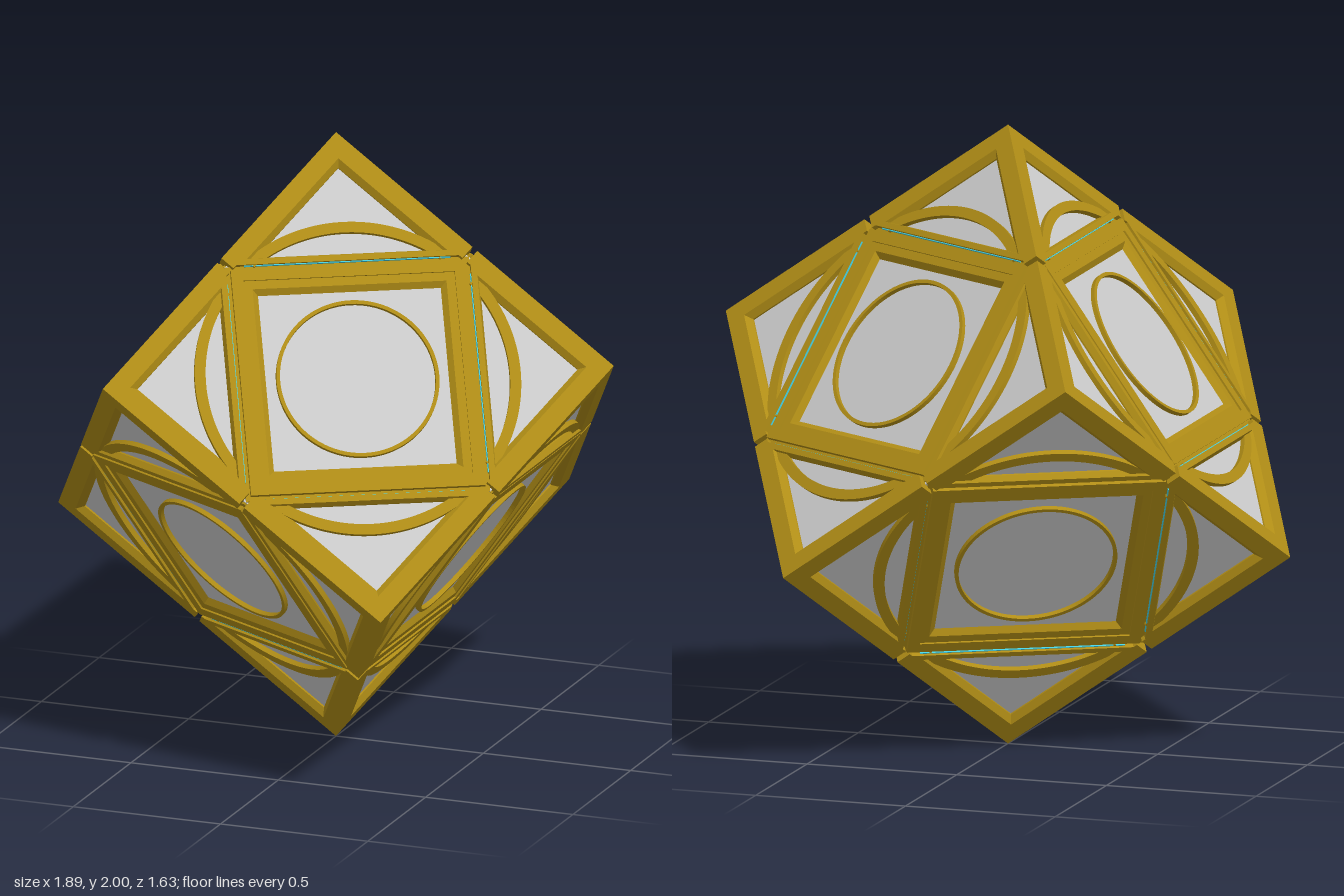
import * as THREE from 'three';

const H = 1 / Math.sqrt(3);            // half the cube edge; the body diagonal is 2
const gold = new THREE.MeshStandardMaterial({ color: 0xb08d16 });
const grey = new THREE.MeshStandardMaterial({ color: 0xcccccc });
const cyan = new THREE.MeshStandardMaterial({ color: 0x45cfe0 });

const mesh = (name, geometry, material = gold) => {
  const m = new THREE.Mesh(geometry, material);
  m.name = name;
  return m;
};

const loop = pts => pts.map(([x, y]) => new THREE.Vector2(x, y));
const square = r => loop([[r, r], [-r, r], [-r, -r], [r, -r]]);

// Plate whose top lies `top` above the face plane
function plate(outer, hole, top, depth) {
  const shape = new THREE.Shape(outer);
  if (hole) shape.holes.push(new THREE.Path(hole));
  const g = new THREE.ExtrudeGeometry(shape, { depth, bevelEnabled: false });
  return g.translate(0, 0, top - depth);
}

// Sloped strip from a high outer loop down to a low inner loop
function slope(a, za, b, zb) {
  const pos = [];
  a.forEach((p, i) => {
    const j = (i + 1) % a.length, q = a[j], r = b[j], s = b[i];
    pos.push(p.x, p.y, za, q.x, q.y, za, r.x, r.y, zb, p.x, p.y, za, r.x, r.y, zb, s.x, s.y, zb);
  });
  const g = new THREE.BufferGeometry();
  g.setAttribute('position', new THREE.Float32BufferAttribute(pos, 3));
  g.computeVertexNormals();
  return g;
}

// Flat ring, or an arc of one, centred on angle 0
function band(rIn, rOut, half, top, depth) {
  const shape = new THREE.Shape();
  shape.absarc(0, 0, rOut, -half, half, false);
  if (half < Math.PI) {
    shape.absarc(0, 0, rIn, half, -half, true);
  } else {
    shape.holes.push(new THREE.Path().absarc(0, 0, rIn, 0, Math.PI * 2, true));
  }
  const g = new THREE.ExtrudeGeometry(shape, { depth, bevelEnabled: false, curveSegments: 48 });
  return g.translate(0, 0, top - depth);
}

// Triangular window of a corner piece: w from the cube edges, d from the face centre
function triangle(w, d) {
  const k = d * Math.SQRT2, e = H - w;
  return loop([[e, e], [k - e, e], [e, k - e]]);
}

function cornerPiece() {
  const g = new THREE.Group();
  g.name = 'cornerPiece';
  const c = 0.01, k = 0.39 * Math.SQRT2;
  const outer = loop([[H, H], [c, H], [c, k - c], [k - c, c], [H, c]]);
  const high = triangle(0.062, 0.409), low = triangle(0.08, 0.417);
  g.add(mesh('cornerFrame', plate(outer, high, 0, 0.05)));
  g.add(mesh('cornerBevel', slope(high, 0, low, -0.02)));
  g.add(mesh('cornerBevelFoot', slope(low, -0.02, low, -0.03)));
  const arc = mesh('cornerArc', band(0.485, 0.52, 0.66, -0.008, 0.022));
  arc.rotation.z = Math.PI / 4;
  g.add(arc);
  // Bright strip on the wall of the groove
  const strip = mesh('grooveStrip', new THREE.BoxGeometry(0.004, 0.66, 0.008), cyan);
  strip.position.set(0.275, 0.275, -0.012);
  strip.rotation.z = Math.PI / 4;
  g.add(strip);
  return g;
}

function centrePiece() {
  const g = new THREE.Group();
  g.name = 'centrePiece';
  g.add(mesh('grooveFloor', plate(square(0.39), square(0.345), -0.018, 0.03)));
  g.add(mesh('centreFrame', plate(square(0.375), square(0.338), -0.002, 0.03)));
  g.add(mesh('innerFrame', plate(square(0.34), square(0.31), -0.008, 0.03)));
  g.add(mesh('innerBevel', slope(square(0.31), -0.008, square(0.292), -0.025)));
  g.add(mesh('centreRing', band(0.248, 0.26, Math.PI, -0.01, 0.02)));
  g.rotation.z = Math.PI / 4;
  return g;
}

function cubeFace() {
  const face = new THREE.Group();
  face.name = 'cubeFace';
  const content = new THREE.Group();
  content.name = 'faceDetail';
  content.position.z = H;
  for (let i = 0; i < 4; i++) {
    const corner = cornerPiece();
    corner.rotation.z = i * Math.PI / 2;
    content.add(corner);
  }
  content.add(centrePiece());
  face.add(content);
  return face;
}

export function createModel() {
  const cube = new THREE.Group();
  cube.name = 'puzzleCube';

  // Recessed panels behind all the frames
  const side = 2 * (H - 0.025);
  cube.add(mesh('panels', new THREE.BoxGeometry(side, side, side), grey));

  // Six equal faces
  const face = cubeFace(), q = Math.PI / 2;
  for (const [rx, ry] of [[0, 0], [0, q], [0, 2 * q], [0, -q], [q, 0], [-q, 0]]) {
    const f = face.clone();
    f.rotation.set(rx, ry, 0);
    cube.add(f);
  }

  // Stand the cube on one corner
  const axis = (r, a) => new THREE.Vector3(r * Math.cos(a), H, r * Math.sin(a));
  const r = Math.sqrt(2 / 3), t = Math.PI / 3;
  cube.setRotationFromMatrix(new THREE.Matrix4().makeBasis(axis(r, Math.PI), axis(r, t), axis(r, -t)));
  cube.position.y = 1;

  const model = new THREE.Group();
  model.name = 'model';
  model.add(cube);
  return model;
}
